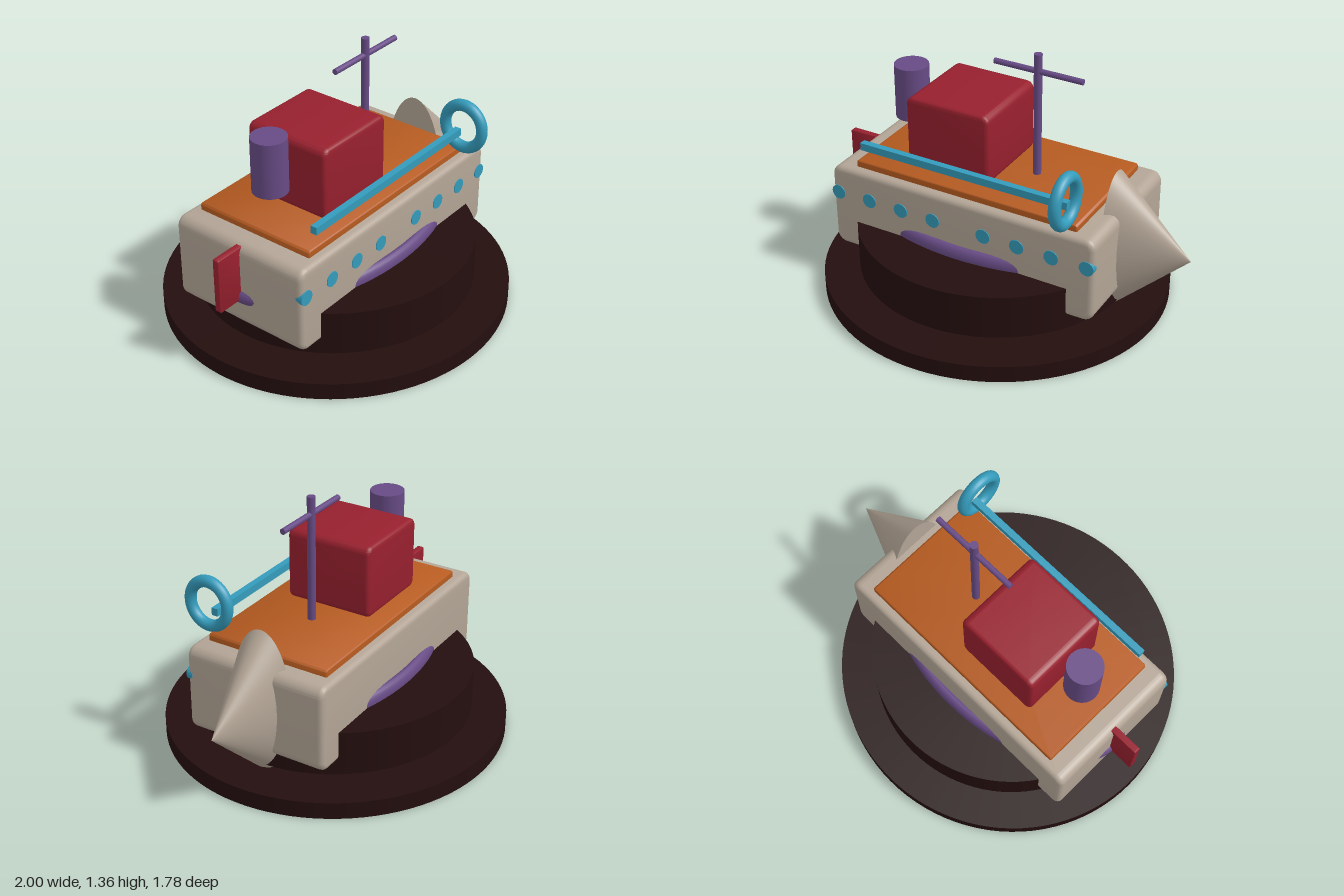
import * as THREE from 'three';
import { toCreasedNormals } from 'three/addons/utils/BufferGeometryUtils.js';

const paint = (name, color) => {
  const m = new THREE.MeshStandardMaterial({ color });
  m.name = name;
  return m;
};

// Block centred on the origin: corner radius r in the front outline, bevel b on the front and back edges
function roundedBlock(w, h, d, r, b) {
  const x = w / 2 - b, y = h / 2 - b, c = Math.max(r - b, 0.002);
  const s = new THREE.Shape();
  s.moveTo(-x + c, -y);
  s.absarc(x - c, -y + c, c, -Math.PI / 2, 0);
  s.absarc(x - c, y - c, c, 0, Math.PI / 2);
  s.absarc(-x + c, y - c, c, Math.PI / 2, Math.PI);
  s.absarc(-x + c, -y + c, c, Math.PI, Math.PI * 1.5);
  const g = new THREE.ExtrudeGeometry(s, {
    depth: d - 2 * b, bevelEnabled: true, bevelSize: b, bevelThickness: b, bevelSegments: 4, curveSegments: 6,
  });
  g.translate(0, 0, -(d - 2 * b) / 2);
  return toCreasedNormals(g, 0.7);
}

export function createModel() {
  const group = new THREE.Group();
  const dark = paint('darkBase', 0x240e0e);
  const cream = paint('hullCream', 0xb3a596);
  const red = paint('cabinRed', 0x97202e);
  const orange = paint('deckOrange', 0xb65b20);
  const purple = paint('trimPurple', 0x674b85);
  const teal = paint('fittingTeal', 0x349bbb);

  const add = (name, geometry, material, x, y, z = 0) => {
    const m = new THREE.Mesh(geometry, material);
    m.name = name;
    m.position.set(x, y, z);
    group.add(m);
    return m;
  };
  const cx = -0.083; // centre of the hull and stand

  // Two slightly oval discs of the stand
  add('lowerBase', new THREE.CylinderGeometry(1, 1, 0.09, 96).scale(0.917, 1, 0.89), dark, cx, 0.045);
  add('upperBase', new THREE.CylinderGeometry(1, 1, 0.235, 96).scale(0.727, 1, 0.71), dark, cx, 0.2425);

  // Hull, deck and pointed bow
  add('hull', roundedBlock(1.5, 0.46, 0.78, 0.055, 0.028), cream, cx, 0.432);
  add('deck', roundedBlock(1.26, 0.08, 0.68, 0.015, 0.008), orange, -0.08, 0.658);
  add('bow', new THREE.ConeGeometry(1, 0.41, 64).rotateZ(-Math.PI / 2).scale(1, 0.39, 0.168), cream, 0.795, 0.445);

  // Oval bumper ring round the hull
  add('bumperRing', new THREE.TorusGeometry(0.93, 0.07, 20, 80).rotateX(Math.PI / 2).scale(0.77, 0.7, 0.436),
    purple, cx, 0.368);

  // Cabin and rudder
  add('cabin', roundedBlock(0.47, 0.385, 0.475, 0.04, 0.022), red, -0.23, 0.882);
  add('rudder', roundedBlock(0.175, 0.295, 0.036, 0.008, 0.005), red, -0.888, 0.502);

  // Funnel and mast
  add('funnel', new THREE.CylinderGeometry(0.09, 0.09, 0.29, 48), purple, -0.58, 0.985);
  add('mast', new THREE.CylinderGeometry(0.021, 0.021, 0.665, 24), purple, 0.15, 1.0225);
  add('crossbar', new THREE.CylinderGeometry(0.015, 0.015, 0.485, 20).rotateZ(Math.PI / 2), purple, 0.152, 1.263);

  // Side rail with a lifebuoy at its forward end
  add('rail', new THREE.BoxGeometry(1.17, 0.04, 0.035), teal, -0.085, 0.794, 0.336);
  add('lifebuoy', new THREE.TorusGeometry(0.119, 0.031, 20, 48).rotateY(Math.PI / 2).scale(1, 1, 0.93),
    teal, 0.5, 0.833, 0.368);

  // Portholes along the left side: two groups of four
  const porthole = new THREE.CylinderGeometry(0.039, 0.039, 0.035, 28).rotateX(Math.PI / 2);
  for (const start of [-0.795, 0.063]) {
    for (let i = 0; i < 4; i++) add('porthole', porthole, teal, start + i * 0.189, 0.512, 0.377);
  }
  return group;
}
